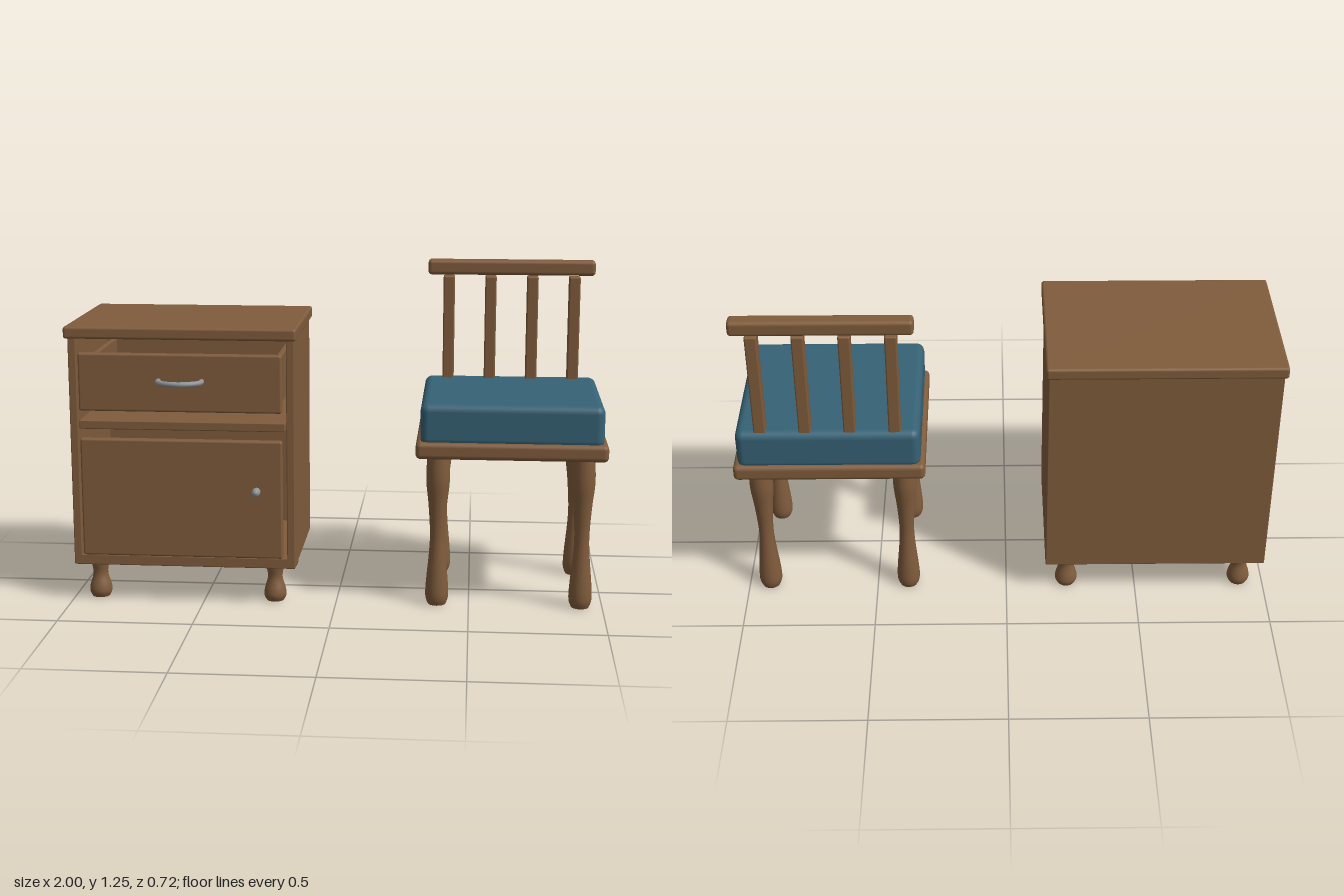
import * as THREE from 'three';
import { RoundedBoxGeometry } from 'three/addons/geometries/RoundedBoxGeometry.js';

function material(name, color) {
  const m = new THREE.MeshStandardMaterial({ color });
  m.name = name;
  return m;
}

export function createModel() {
  const wood = material('wood', 0x805c3c);
  const fabric = material('blueFabric', 0x366275);
  const metal = material('metal', 0x8e949a);

  const add = (parent, name, geometry, mat, x = 0, y = 0, z = 0) => {
    const mesh = new THREE.Mesh(geometry, mat);
    mesh.name = name;
    mesh.position.set(x, y, z);
    parent.add(mesh);
    return mesh;
  };

  // Box given by its limits on each axis, with softened edges
  const box = (parent, name, [x0, x1], [y0, y1], [z0, z1], r = 0.004, mat = wood) =>
    add(parent, name, new RoundedBoxGeometry(x1 - x0, y1 - y0, z1 - z0, 3, r), mat,
      (x0 + x1) / 2, (y0 + y1) / 2, (z0 + z1) / 2);

  // Turned leg: smooth curve through [radius, height] points, capped at both ends
  const turned = (points) => {
    const curve = new THREE.SplineCurve(points.map(([r, y]) => new THREE.Vector2(r, y)));
    const side = curve.getPoints(28);
    const top = side[side.length - 1], bottom = side[0];
    return new THREE.LatheGeometry([
      new THREE.Vector2(0, bottom.y), bottom.clone(), ...side, top.clone(), new THREE.Vector2(0, top.y),
    ], 24);
  };

  const model = new THREE.Group();
  model.name = 'cabinetAndChair';

  // ---- Bedside cabinet ----
  const cabinet = new THREE.Group();
  cabinet.name = 'cabinet';
  model.add(cabinet);

  box(cabinet, 'cabinetTop', [-1, -0.14], [1.008, 1.053], [-0.347, 0.274], 0.01);
  for (const [x0, x1] of [[-0.99, -0.96], [-0.18, -0.15]])
    box(cabinet, 'sidePanel', [x0, x1], [0.14, 1.012], [-0.323, 0.245]);
  box(cabinet, 'bottomPanel', [-0.985, -0.155], [0.14, 0.18], [-0.323, 0.245]);
  box(cabinet, 'backPanel', [-0.985, -0.155], [0.145, 1.012], [-0.323, -0.295]);
  box(cabinet, 'shelf', [-0.955, -0.185], [0.665, 0.698], [-0.3, 0.245]);

  // Drawer with an open tray behind its front
  const drawer = new THREE.Group();
  drawer.name = 'drawer';
  cabinet.add(drawer);
  box(drawer, 'drawerFront', [-0.947, -0.193], [0.74, 0.956], [0.243, 0.277], 0.008);
  box(drawer, 'drawerBottom', [-0.93, -0.21], [0.75, 0.77], [-0.25, 0.25]);
  box(drawer, 'drawerBack', [-0.93, -0.21], [0.75, 0.93], [-0.26, -0.24]);
  for (const x of [-0.93, -0.23])
    box(drawer, 'drawerSide', [x, x + 0.02], [0.75, 0.93], [-0.25, 0.25]);

  // Bowed drawer handle
  const bow = new THREE.CatmullRomCurve3([
    [-0.08, 0.285], [-0.076, 0.312], [-0.045, 0.338], [0, 0.349],
    [0.045, 0.338], [0.076, 0.312], [0.08, 0.285],
  ].map(([x, z]) => new THREE.Vector3(x, 0, z)));
  add(drawer, 'drawerHandle', new THREE.TubeGeometry(bow, 32, 0.01, 10), metal, -0.567, 0.857, 0);
  for (const s of [-1, 1]) {
    const cap = add(drawer, 'handleEnd', new THREE.CylinderGeometry(0.01, 0.01, 0.012, 10), metal,
      -0.567 + s * 0.08, 0.857, 0.281);
    cap.rotation.x = Math.PI / 2;
  }

  // Door and knob
  box(cabinet, 'door', [-0.947, -0.193], [0.187, 0.635], [0.243, 0.277], 0.008);
  const knob = add(cabinet, 'doorKnob', new THREE.LatheGeometry([
    [0.009, 0], [0.011, 0.008], [0.015, 0.016], [0.016, 0.03], [0.014, 0.043], [0.009, 0.05], [0, 0.052],
  ].map(([r, y]) => new THREE.Vector2(r, y)), 20), metal, -0.287, 0.45, 0.277);
  knob.rotation.x = Math.PI / 2;

  const foot = turned([[0.033, 0], [0.042, 0.02], [0.04, 0.045], [0.028, 0.09], [0.033, 0.13], [0.034, 0.145]]);
  for (const x of [-0.906, -0.233])
    for (const z of [-0.25, 0.18]) add(cabinet, 'cabinetFoot', foot, wood, x, 0, z);

  // ---- Chair ----
  const chair = new THREE.Group();
  chair.name = 'chair';
  model.add(chair);

  box(chair, 'seatFrame', [0.298, 1], [0.58, 0.643], [-0.36, 0.287], 0.018);
  box(chair, 'seatCushion', [0.314, 0.984], [0.625, 0.784], [-0.347, 0.273], 0.03, fabric);

  const leg = turned([[0.033, 0], [0.043, 0.03], [0.041, 0.09], [0.031, 0.2], [0.028, 0.28],
    [0.035, 0.39], [0.044, 0.48], [0.041, 0.572]]);
  for (const x of [0.38, 0.917])
    for (const z of [-0.252, 0.18]) add(chair, 'chairLeg', leg, wood, x, 0, z);

  // Backrest
  for (let i = 0; i < 4; i++) {
    const x = 0.404 + i * 0.1625;
    box(chair, 'backSlat', [x - 0.022, x + 0.022], [0.64, 1.185], [-0.333, -0.28], 0.006);
  }
  box(chair, 'backTopRail', [0.322, 0.97], [1.19, 1.248], [-0.337, -0.277], 0.014);

  // Round metal fitting under the seat
  add(chair, 'underSeatDisc', new THREE.CylinderGeometry(0.08, 0.08, 0.04, 32), metal, 0.647, 0.566, -0.037);

  return model;
}
